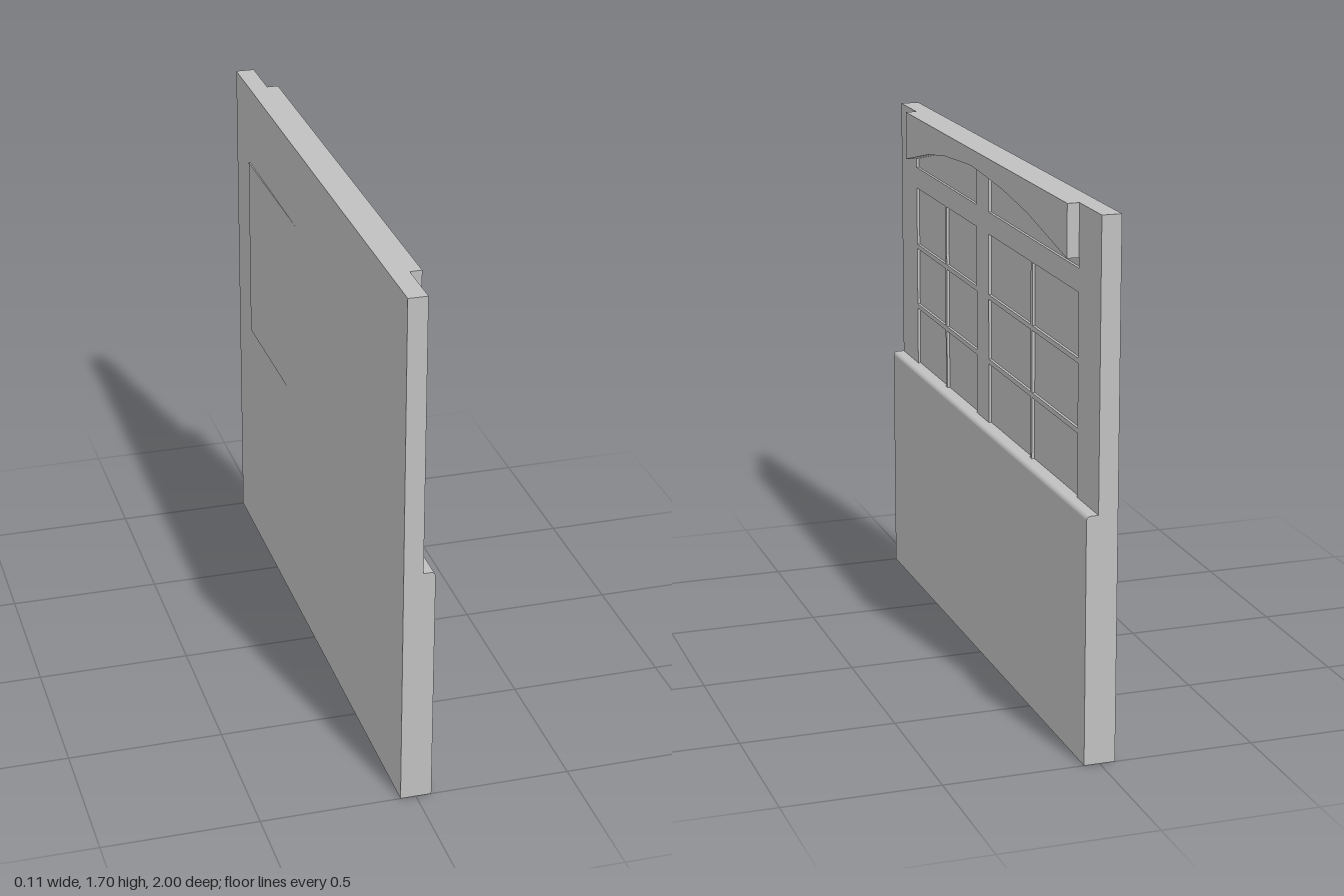
import * as THREE from 'three';

const grey = new THREE.MeshStandardMaterial({ color: 0xc0c0c0 });
grey.name = 'plain grey';

// Lower edge of the arch, as [z, y]
const ARCH = [[0.82, 1.535], [0.56, 1.597], [0.38, 1.625], [0.15, 1.642], [0.09, 1.645],
  [0.025, 1.643], [-0.23, 1.627], [-0.46, 1.6], [-0.815, 1.535]];

const shapePoints = (pts) => pts.map(([z, y]) => new THREE.Vector2(-z, y));

// Outline in the z-y plane, extruded along x from x0 to x1
function plate(name, outline, holes, x0, x1) {
  const shape = new THREE.Shape(shapePoints(outline));
  for (const h of holes) shape.holes.push(new THREE.Path(shapePoints(h)));
  const geo = new THREE.ExtrudeGeometry(shape, { depth: x1 - x0, bevelEnabled: false });
  geo.rotateY(Math.PI / 2).translate(x0, 0, 0);
  const mesh = new THREE.Mesh(geo, grey);
  mesh.name = name;
  return mesh;
}

const rect = (z0, z1, y0, y1) => [[z0, y0], [z1, y0], [z1, y1], [z0, y1]];

export function createModel() {
  const model = new THREE.Group();
  model.name = 'wallPanel';

  const BACK = -0.05, PANE = 0.003, FACE = 0.012, FRONT = 0.05;

  // Backing slab, whose face shows as the window panes
  const slab = new THREE.Mesh(new THREE.BoxGeometry(PANE - BACK, 1.7, 2), grey);
  slab.position.set((PANE + BACK) / 2, 0.85, 0);
  slab.name = 'backingSlab';
  model.add(slab);

  // Two windows of two by three panes, each topped by an arched light
  const holes = [];
  const bar = 0.016;
  for (const [left, right] of [[0.82, 0.15], [0.025, -0.815]]) {
    const w = (left - right - bar) / 2;
    const h = (1.43 - 0.795 - 2 * bar) / 3;
    for (let c = 0; c < 2; c++) {
      for (let r = 0; r < 3; r++) {
        const z = left - c * (w + bar);
        const y = 0.795 + r * (h + bar);
        holes.push(rect(z, z - w, y, y + h));
      }
    }
    const top = ARCH.filter(([z]) => z <= left && z >= right).reverse();
    holes.push([[left, 1.503], [right, 1.503], ...top]);
  }
  model.add(plate('windowFrame', rect(1, -1, 0.78, 1.7), holes, PANE, FACE));

  // Raised header with an arched underside
  model.add(plate('archHeader', [...ARCH, [-0.815, 1.7], [0.82, 1.7]], [], FACE, FRONT));

  // Thick lower wall with a rounded top edge
  const r = 0.014;
  const profile = new THREE.Shape();
  profile.moveTo(PANE, 0);
  profile.lineTo(FRONT, 0);
  profile.lineTo(FRONT, 0.795 - r);
  profile.absarc(FRONT - r, 0.795 - r, r, 0, Math.PI / 2, false);
  profile.lineTo(PANE, 0.795);
  const wallGeo = new THREE.ExtrudeGeometry(profile, { depth: 2, bevelEnabled: false, curveSegments: 4 });
  wallGeo.translate(0, 0, -1);
  const wall = new THREE.Mesh(wallGeo, grey);
  wall.name = 'lowerWall';
  model.add(wall);

  // Slightly tilted window back that just breaks through the rear face
  const wedge = new THREE.Shape([[BACK, -0.82], [BACK, -0.2], [BACK - 0.005, -0.82]]
    .map(([x, z]) => new THREE.Vector2(x, -z)));
  const wedgeGeo = new THREE.ExtrudeGeometry(wedge, { depth: 0.635, bevelEnabled: false });
  wedgeGeo.rotateX(-Math.PI / 2).translate(0, 0.795, 0);
  const back = new THREE.Mesh(wedgeGeo, grey);
  back.name = 'tiltedWindowBack';
  model.add(back);

  return model;
}
